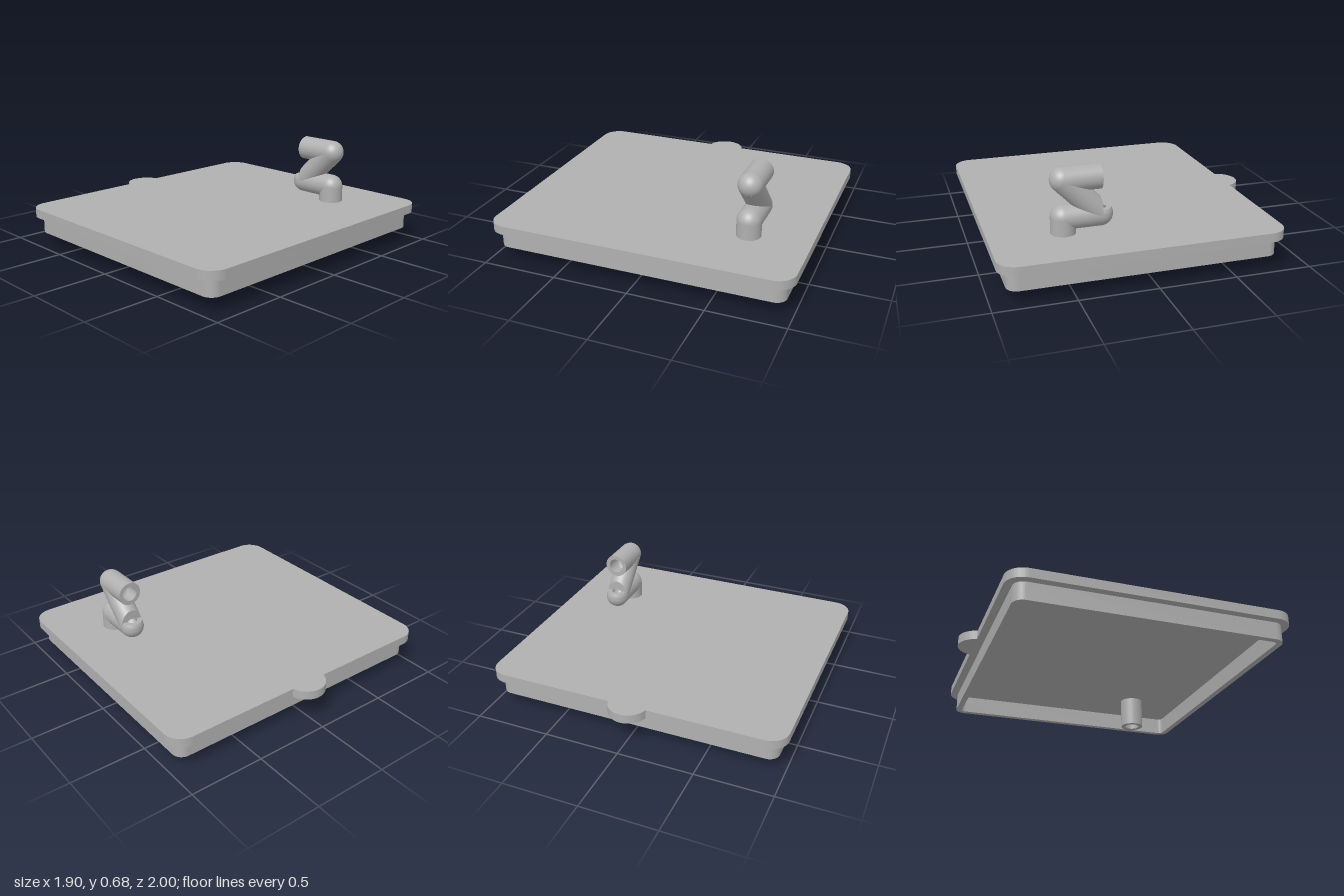
import * as THREE from 'three';
import { toCreasedNormals } from 'three/addons/utils/BufferGeometryUtils.js';

const R = 0.079, BORE = 0.05, PIPE_Z = -0.602, CUT_X = 0.25;

// Rounded rectangle outline, centred on x = 0.05
function roundedRect(target, hw, hd, r) {
  const cx = 0.05;
  target.absarc(cx + hw - r, hd - r, r, 0, Math.PI / 2);
  target.absarc(cx - hw + r, hd - r, r, Math.PI / 2, Math.PI);
  target.absarc(cx - hw + r, -hd + r, r, Math.PI, Math.PI * 1.5);
  target.absarc(cx + hw - r, -hd + r, r, Math.PI * 1.5, Math.PI * 2);
  target.closePath();
  return target;
}

// Upright slab from a ground outline
function slab(shape, y0, y1) {
  const geo = new THREE.ExtrudeGeometry(shape, { depth: y1 - y0, bevelEnabled: false, curveSegments: 12 });
  geo.rotateX(-Math.PI / 2).translate(0, y0, 0);
  return toCreasedNormals(geo, 0.6);
}

// Hollow pipe between two points; anything left of CUT_X slides along the axis to the cut plane
function pipe(a, b) {
  const dir = b.clone().sub(a), len = dir.length();
  dir.normalize();
  const profile = [[BORE, 0], [R, 0], [R, len], [BORE, len], [BORE, 0]].map(p => new THREE.Vector2(...p));
  const geo = new THREE.LatheGeometry(profile, 40);
  geo.applyQuaternion(new THREE.Quaternion().setFromUnitVectors(new THREE.Vector3(0, 1, 0), dir));
  geo.translate(a.x, a.y, a.z);
  const pos = geo.attributes.position, v = new THREE.Vector3();
  for (let i = 0; i < pos.count; i++) {
    v.fromBufferAttribute(pos, i);
    if (v.x < CUT_X - 1e-5) {
      v.addScaledVector(dir, (CUT_X - v.x) / dir.x);
      pos.setXYZ(i, v.x, v.y, v.z);
    }
  }
  return toCreasedNormals(geo, 0.6);
}

export function createModel() {
  const model = new THREE.Group();
  model.name = 'lidWithBentPipe';
  const grey = new THREE.MeshStandardMaterial({ color: 0xb0b0b0, side: THREE.DoubleSide });
  grey.name = 'plain grey';
  const add = (name, geo, at) => {
    const mesh = new THREE.Mesh(geo, grey);
    mesh.name = name;
    if (at) mesh.position.copy(at);
    model.add(mesh);
  };

  // Lid plate with a hole for the pipe
  const plate = roundedRect(new THREE.Shape(), 0.9, 1, 0.12);
  plate.holes.push(new THREE.Path().absarc(0.486, -PIPE_Z, 0.065, 0, Math.PI * 2));
  add('lidPlate', slab(plate, 0.2, 0.26));

  // Rim below the plate
  const rim = roundedRect(new THREE.Shape(), 0.85, 0.95, 0.07);
  rim.holes.push(roundedRect(new THREE.Path(), 0.81, 0.91, 0.03));
  add('lidRim', slab(rim, 0.085, 0.2));

  // Finger tab on the side
  const start = Math.acos(-0.03 / 0.13);
  const tab = new THREE.Shape();
  tab.absarc(-0.82, 0, 0.13, start, Math.PI * 2 - start);
  tab.closePath();
  add('fingerTab', slab(tab, 0.2, 0.26));

  // Zigzag pipe
  const P = (x, y) => new THREE.Vector3(x, y, PIPE_Z);
  const foot = P(0.486, 0), elbow = P(0.486, 0.362), bend = P(CUT_X, 0.362);
  const top = P(0.486, 0.602), mouth = P(CUT_X, 0.602);
  add('uprightPipe', pipe(foot, elbow));
  add('lowerPipe', pipe(bend, elbow));
  add('slantedPipe', pipe(bend, top));
  add('upperPipe', pipe(mouth, top));

  // Rounded outer corners
  add('lowerElbow', new THREE.SphereGeometry(R, 24, 12, Math.PI / 2, Math.PI, 0, Math.PI / 2), elbow);
  add('upperElbow', new THREE.SphereGeometry(R, 24, 24, Math.PI / 2, Math.PI), top);

  // Left bend: half a hollow ball, cut flat on top
  const cut = 0.04, profile = [];
  const end = Math.asin(cut / R);
  for (let i = 0; i <= 14; i++) {
    const a = -Math.PI / 2 + (end + Math.PI / 2) * i / 14;
    profile.push(new THREE.Vector2(R * Math.cos(a), R * Math.sin(a)));
  }
  for (const [x, y] of [[0.037, cut], [0.046, 0.02], [0.05, 0], [0.043, -0.025], [0.025, -0.043], [0, -0.05]])
    profile.push(new THREE.Vector2(x, y));
  add('leftBend', toCreasedNormals(new THREE.LatheGeometry(profile, 24, Math.PI, Math.PI), 0.7), bend);

  return model;
}
